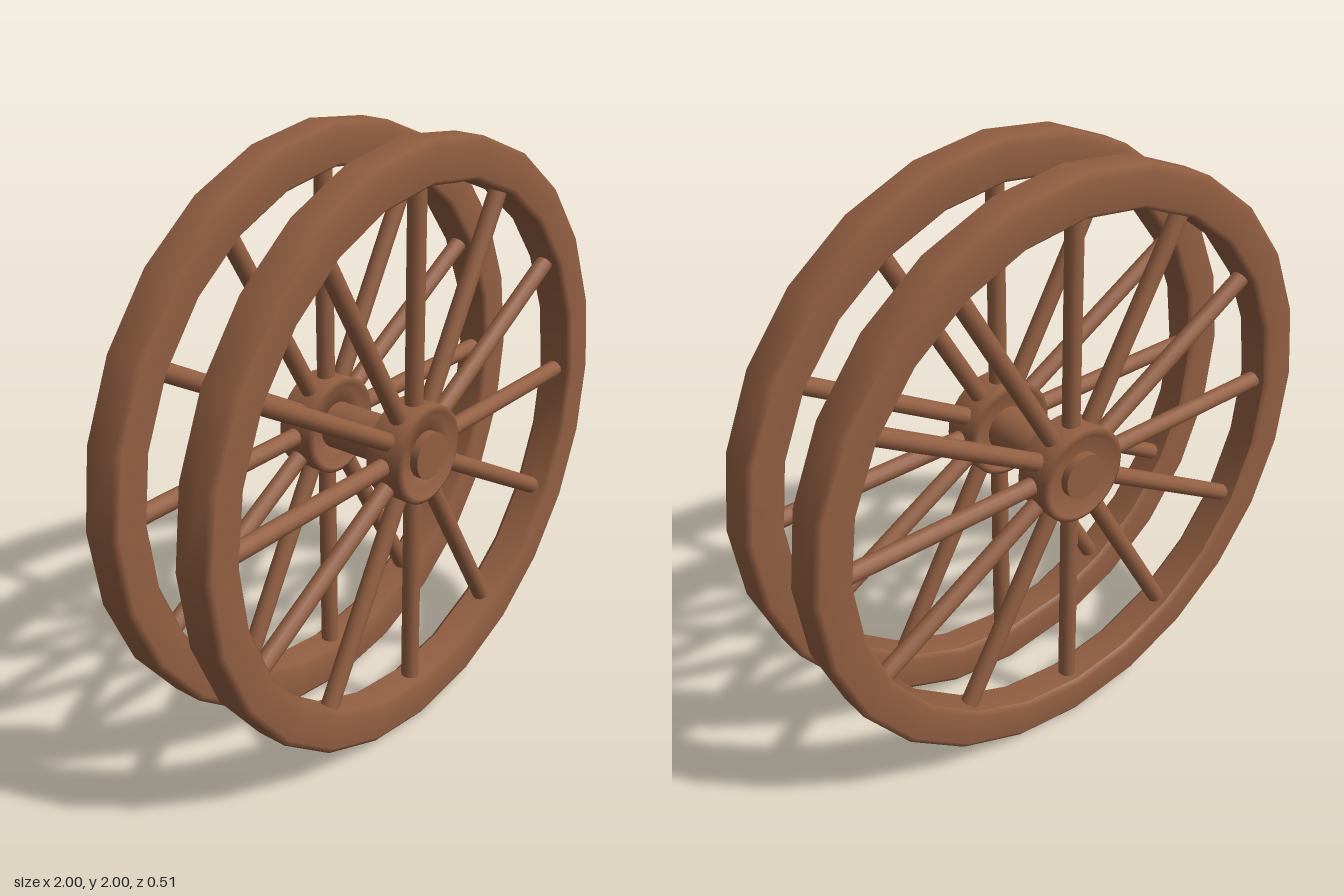
import * as THREE from 'three';

const wood = new THREE.MeshStandardMaterial({ color: 0x935f42 });
wood.name = 'brownWood';

function mesh(name, geometry) {
  const m = new THREE.Mesh(geometry, wood);
  m.name = name;
  return m;
}

// Revolve a closed [radius, z] profile about the z axis
function ring(name, profile, segments) {
  const points = profile.map(([r, z]) => new THREE.Vector2(r, z));
  points.push(points[0].clone());
  return mesh(name, new THREE.LatheGeometry(points, segments).rotateX(Math.PI / 2));
}

function createWheel(name, z) {
  const wheel = new THREE.Group();
  wheel.name = name;

  // Softly bevelled square rim
  wheel.add(ring('rim', [
    [0.865, -0.05], [0.88, -0.066], [0.98, -0.066], [1, -0.052],
    [1, 0.052], [0.98, 0.066], [0.88, 0.066], [0.865, 0.05],
  ], 24));

  // Hub with a dished face on both sides
  wheel.add(ring('hub', [
    [0.04, -0.045], [0.125, -0.045], [0.145, -0.07], [0.165, -0.06],
    [0.165, 0.06], [0.145, 0.07], [0.125, 0.045], [0.04, 0.045],
  ], 32));

  // Twelve round spokes
  const spoke = new THREE.CylinderGeometry(0.03, 0.03, 0.74, 12).translate(0, 0.505, 0);
  for (let i = 0; i < 12; i++) {
    const s = mesh('spoke', spoke);
    s.rotation.z = (i * Math.PI) / 6;
    wheel.add(s);
  }

  wheel.position.z = z;
  return wheel;
}

export function createModel() {
  const model = new THREE.Group();
  model.name = 'wheelPair';
  const assembly = new THREE.Group();
  assembly.name = 'wheelsAndAxle';
  assembly.position.y = 1;
  assembly.add(createWheel('frontWheel', 0.18), createWheel('backWheel', -0.18));

  // Axle joining the wheels
  assembly.add(mesh('axle', new THREE.CylinderGeometry(0.078, 0.078, 0.506, 32).rotateX(Math.PI / 2)));
  model.add(assembly);
  return model;
}
